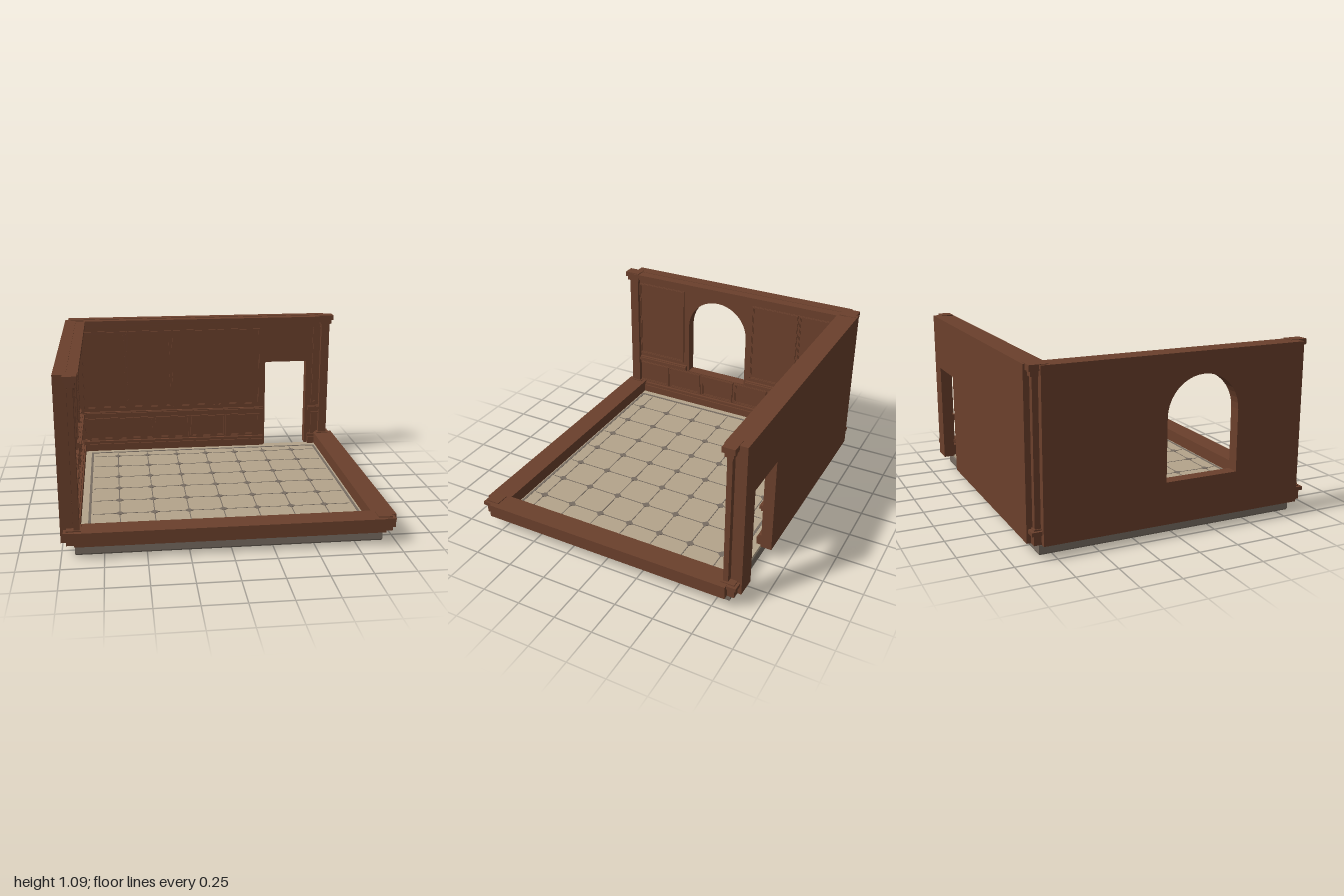
import * as THREE from 'three';

const wood = new THREE.MeshStandardMaterial({ color: 0x6b402c });
const stone = new THREE.MeshStandardMaterial({ color: 0x786d62 });
const tile = new THREE.MeshStandardMaterial({ color: 0xb4a48b });
wood.name = 'wood';
stone.name = 'stone';
tile.name = 'tile';

const BASE = 0.085, TOP = 1.087, SKIRT = 0.17; // wall foot, wall top, low wall top
const HX = 0.925, HZ = 0.83;                   // inner faces of the walls

function add(parent, name, geometry, material) {
  const mesh = new THREE.Mesh(geometry, material);
  mesh.name = name;
  parent.add(mesh);
  return mesh;
}

// Box given by its minimum and maximum corners
function box(parent, name, material, x0, x1, y0, y1, z0, z1) {
  const mesh = add(parent, name, new THREE.BoxGeometry(x1 - x0, y1 - y0, z1 - z0), material);
  mesh.position.set((x0 + x1) / 2, (y0 + y1) / 2, (z0 + z1) / 2);
  return mesh;
}

function rect(x0, x1, y0, y1, Type = THREE.Shape) {
  const s = new Type();
  s.moveTo(x0, y0);
  s.lineTo(x1, y0);
  s.lineTo(x1, y1);
  s.lineTo(x0, y1);
  s.closePath();
  return s;
}

function extrude(shape, depth, z = 0) {
  const g = new THREE.ExtrudeGeometry(shape, { depth, bevelEnabled: false, curveSegments: 10 });
  return g.translate(0, 0, z);
}

// Raised moulding around a panel: a wide low step and a narrow high one
function panel(wall, x0, x1, y0, y1) {
  for (const [inset, width, depth] of [[0, 0.018, 0.006], [0.004, 0.008, 0.012]]) {
    const a = inset, b = inset + width;
    const s = rect(x0 + a, x1 - a, y0 + a, y1 - a);
    s.holes.push(rect(x0 + b, x1 - b, y0 + b, y1 - b, THREE.Path));
    add(wall, 'panelMoulding', extrude(s, depth), wood);
  }
}

function rail(wall, x0, x1) {
  box(wall, 'chairRail', wood, x0, x1, 0.345, 0.385, 0, 0.018);
  box(wall, 'chairRailLip', wood, x0, x1, 0.358, 0.378, 0, 0.03);
}

// Cornice running along local x
function crown(wall, x0, x1) {
  const steps = [[1.02, 1.035, 0.015], [1.035, 1.06, 0.04], [1.06, TOP - 0.003, 0.066]];
  for (const [y0, y1, d] of steps) box(wall, 'crown', wood, x0, x1, y0, y1, -0.01, d);
}

function skirting(wall, x0, x1) {
  box(wall, 'skirting', wood, x0, x1, BASE, 0.14, 0, 0.035);
  box(wall, 'skirtingCap', wood, x0, x1, 0.14, 0.16, 0, 0.025);
}

// Wall with a doorway; local z points into the room
function backWall() {
  const wall = new THREE.Group();
  wall.name = 'backWall';
  wall.position.z = -HZ;
  const s = new THREE.Shape();
  [[-0.92, BASE], [0.475, BASE], [0.475, 0.735], [0.79, 0.735], [0.79, BASE], [0.92, BASE], [0.92, TOP], [-0.92, TOP]]
    .forEach(([x, y], i) => (i ? s.lineTo(x, y) : s.moveTo(x, y)));
  add(wall, 'doorwayWall', extrude(s, 0.07, -0.07), wood);
  for (let i = 0; i < 4; i++) {
    const x = -0.905 + i * 0.337;
    panel(wall, x, x + 0.333, 0.405, 0.995);
  }
  for (let i = 0; i < 5; i++) {
    const x = -0.905 + i * 0.27;
    panel(wall, x, x + 0.262, 0.16, 0.335);
  }
  panel(wall, 0.835, 0.915, 0.405, 0.995);
  panel(wall, 0.835, 0.915, 0.16, 0.335);
  rail(wall, -0.92, 0.46);
  rail(wall, 0.81, 0.92);
  skirting(wall, -0.92, 0.46);
  skirting(wall, 0.81, 0.92);
  crown(wall, -0.92, 0.92);
  return wall;
}

// Wall with an arched window; local x runs towards the back
function sideWall() {
  const wall = new THREE.Group();
  wall.name = 'sideWall';
  wall.position.x = -HX;
  wall.rotation.y = Math.PI / 2;
  const s = rect(-HZ, HZ, BASE, TOP);
  const cx = -0.1525, r = 0.2325, spring = 0.722;
  const hole = new THREE.Path();
  hole.moveTo(cx - r, 0.342);
  hole.lineTo(cx + r, 0.342);
  hole.lineTo(cx + r, spring);
  hole.absarc(cx, spring, r, 0, Math.PI, false);
  hole.closePath();
  s.holes.push(hole);
  add(wall, 'windowWall', extrude(s, 0.075, -0.075), wood);
  panel(wall, -0.81, -0.425, 0.405, 0.995);
  panel(wall, 0.12, 0.475, 0.405, 0.995);
  panel(wall, 0.477, 0.82, 0.405, 0.995);
  for (let i = 0; i < 6; i++) {
    const x = -0.825 + i * 0.276;
    panel(wall, x, x + 0.268, 0.16, 0.335);
  }
  rail(wall, -HZ, -0.4);
  rail(wall, 0.1, HZ);
  skirting(wall, -HZ, HZ);
  crown(wall, -HZ, HZ);
  return wall;
}

// Square block centred on a corner
function block(parent, name, x, z, hx, hz, y0, y1) {
  box(parent, name, wood, x - hx, x + hx, y0, y1, z - hz, z + hz);
}

// Corner shaft with a stepped capital; hx and hz are half widths of the shaft
function post(parent, x, z, hx, hz) {
  block(parent, 'postShaft', x, z, hx, hz, BASE, 1.07);
  block(parent, 'capitalNeck', x, z, hx + 0.012, hz + 0.012, 1.025, 1.06);
  block(parent, 'capitalTop', x, z, hx + 0.023, hz + 0.023, 1.055, 1.09);
}

function floor() {
  const group = new THREE.Group();
  group.name = 'floor';
  // Foundation with softened edges
  const c = 0.012;
  const slab = new THREE.ExtrudeGeometry(rect(-0.92 + c, 0.92 - c, -HZ + c, HZ - c), {
    depth: 0.072 - 2 * c, bevelEnabled: true, bevelThickness: c, bevelSize: c, bevelSegments: 2,
  });
  slab.rotateX(-Math.PI / 2).translate(0, c, 0);
  add(group, 'foundation', slab, stone);
  box(group, 'tileBed', tile, -0.915, 0.915, 0.07, 0.088, -0.825, 0.825);

  // Inlaid border
  const border = rect(-0.848, 0.848, -0.752, 0.752);
  border.holes.push(rect(-0.832, 0.832, -0.736, 0.736, THREE.Path));
  add(group, 'floorBorder', extrude(border, 0.003).rotateX(-Math.PI / 2).translate(0, 0.087, 0), stone);

  // Joints and diamond insets
  const diamond = new THREE.BoxGeometry(0.04, 0.005, 0.04).rotateY(Math.PI / 4);
  for (let i = -3; i <= 3; i++) {
    const p = i * 0.2175;
    box(group, 'joint', stone, p - 0.003, p + 0.003, 0.086, 0.0895, -0.725, 0.725);
    box(group, 'joint', stone, -0.82, 0.82, 0.086, 0.0895, p - 0.003, p + 0.003);
    for (let j = -3; j <= 3; j++) {
      add(group, 'diamondInset', diamond, stone).position.set(p, 0.0885, j * 0.2175);
    }
  }
  return group;
}

export function createModel() {
  const model = new THREE.Group();
  model.name = 'panelledRoom';
  model.add(floor(), backWall(), sideWall());

  // Low walls on the open sides
  box(model, 'frontLowWall', wood, -0.92, 0.92, BASE, SKIRT, 0.76, 0.9);
  box(model, 'rightLowWall', wood, 0.86, 1, BASE, SKIRT, -HZ, HZ);

  // Corner plinths
  for (const x of [-0.922, 0.922]) {
    for (const z of [-HZ, HZ]) {
      block(model, 'plinth', x, z, 0.045, 0.045, BASE, 0.15);
      block(model, 'plinthCap', x, z, 0.06, 0.06, 0.145, 0.168);
      block(model, 'plinthTop', x, z, 0.043, 0.043, 0.16, 0.176);
    }
  }

  // Posts at the inner corner and at both wall ends
  post(model, -0.925, -0.833, 0.032, 0.032);
  post(model, 0.922, -0.812, 0.03, 0.016);
  post(model, -0.904, 0.834, 0.016, 0.032);
  return model;
}
